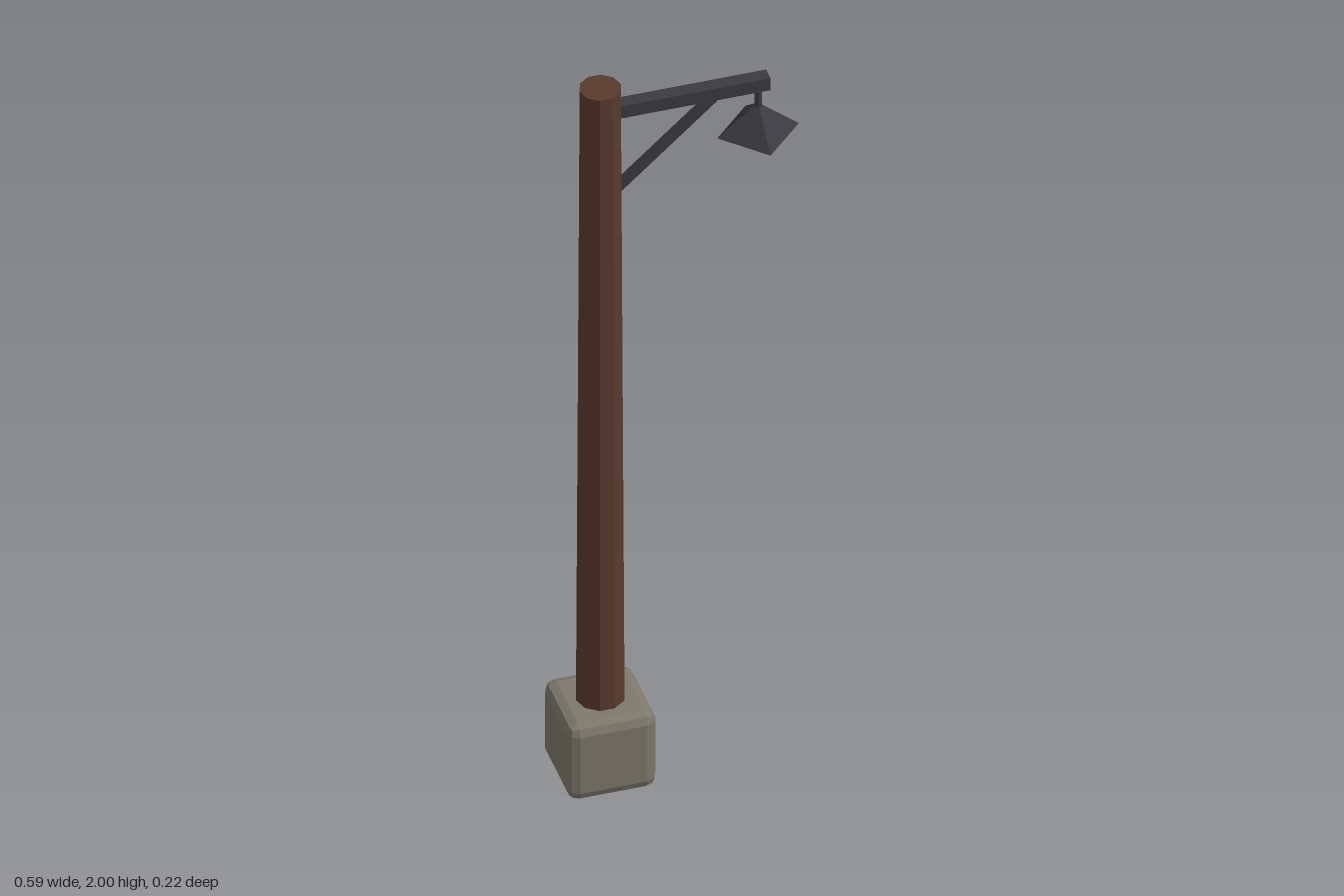
import * as THREE from 'three';
import { RoundedBoxGeometry } from 'three/addons/geometries/RoundedBoxGeometry.js';

const POLE_X = -0.188;
const LAMP_X = 0.195;

function material(name, color) {
  const m = new THREE.MeshStandardMaterial({ color, flatShading: true });
  m.name = name;
  return m;
}

export function createModel() {
  const group = new THREE.Group();
  group.name = 'lampPost';

  const stone = material('stone', 0x7d786b);
  const wood = material('wood', 0x5a3b2d);
  const iron = material('iron', 0x3b3a40);

  function add(name, geometry, mat, x, y, z = 0) {
    const mesh = new THREE.Mesh(geometry, mat);
    mesh.name = name;
    mesh.position.set(x, y, z);
    group.add(mesh);
    return mesh;
  }

  // Bevelled stone footing
  add('base', new RoundedBoxGeometry(0.217, 0.217, 0.217, 1, 0.027), stone, POLE_X, 0.1085);

  // Tapered ten-sided post, set into the footing, with a corner facing the arm
  const post = add('post', new THREE.CylinderGeometry(0.05, 0.06, 1.99, 10), wood, POLE_X, 1.005);
  post.rotation.y = Math.PI / 2;

  // Horizontal arm, its inner end buried in the post
  add('arm', new THREE.BoxGeometry(0.38, 0.035, 0.035), iron, 0.03, 1.93);

  // Diagonal brace between post and arm
  const from = new THREE.Vector2(-0.16, 1.688);
  const to = new THREE.Vector2(0.086, 1.912);
  const span = to.clone().sub(from);
  const brace = add('brace', new THREE.BoxGeometry(span.length(), 0.02, 0.02), iron,
    (from.x + to.x) / 2, (from.y + to.y) / 2);
  brace.rotation.z = span.angle();

  // Hanger and four-sided pyramid shade
  add('hanger', new THREE.CylinderGeometry(0.009, 0.009, 0.08, 6), iron, LAMP_X, 1.88);
  add('shade', new THREE.ConeGeometry(0.099, 0.083, 4), iron, LAMP_X, 1.828);

  return group;
}
